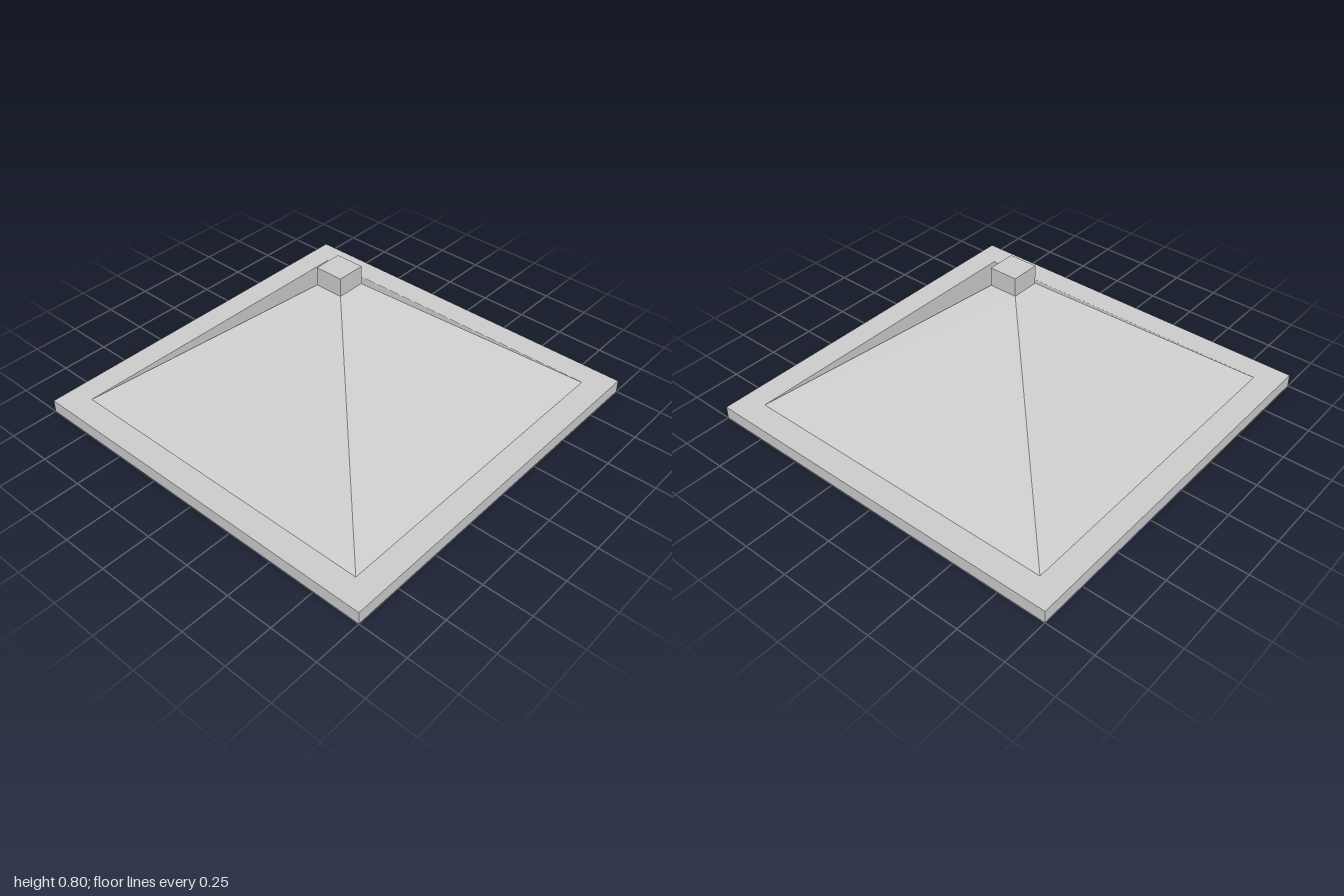
import * as THREE from 'three';

export function createModel() {
  const group = new THREE.Group();
  const grey = new THREE.MeshStandardMaterial({ color: 0xcccccc });
  grey.name = 'light grey';

  const add = (name, geometry, y) => {
    const mesh = new THREE.Mesh(geometry, grey);
    mesh.name = name;
    mesh.position.y = y;
    group.add(mesh);
  };

  const plateTop = 0.068, roofTop = 0.705, capTop = 0.8;
  const roofHalf = 0.868, capHalf = 0.073;

  // Flat square slab at the bottom
  add('basePlate', new THREE.BoxGeometry(2, plateTop, 2), plateTop / 2);

  // Four-sided slope, turned so its flat sides face the axes
  const slope = new THREE.CylinderGeometry(
    capHalf * Math.SQRT2, roofHalf * Math.SQRT2, roofTop - plateTop, 4, 1, true
  ).rotateY(Math.PI / 4).toNonIndexed();
  slope.computeVertexNormals();
  add('pyramidRoof', slope, (plateTop + roofTop) / 2);

  // Small square block on the peak
  add('capBlock', new THREE.BoxGeometry(capHalf * 2, capTop - roofTop, capHalf * 2), (roofTop + capTop) / 2);

  return group;
}
